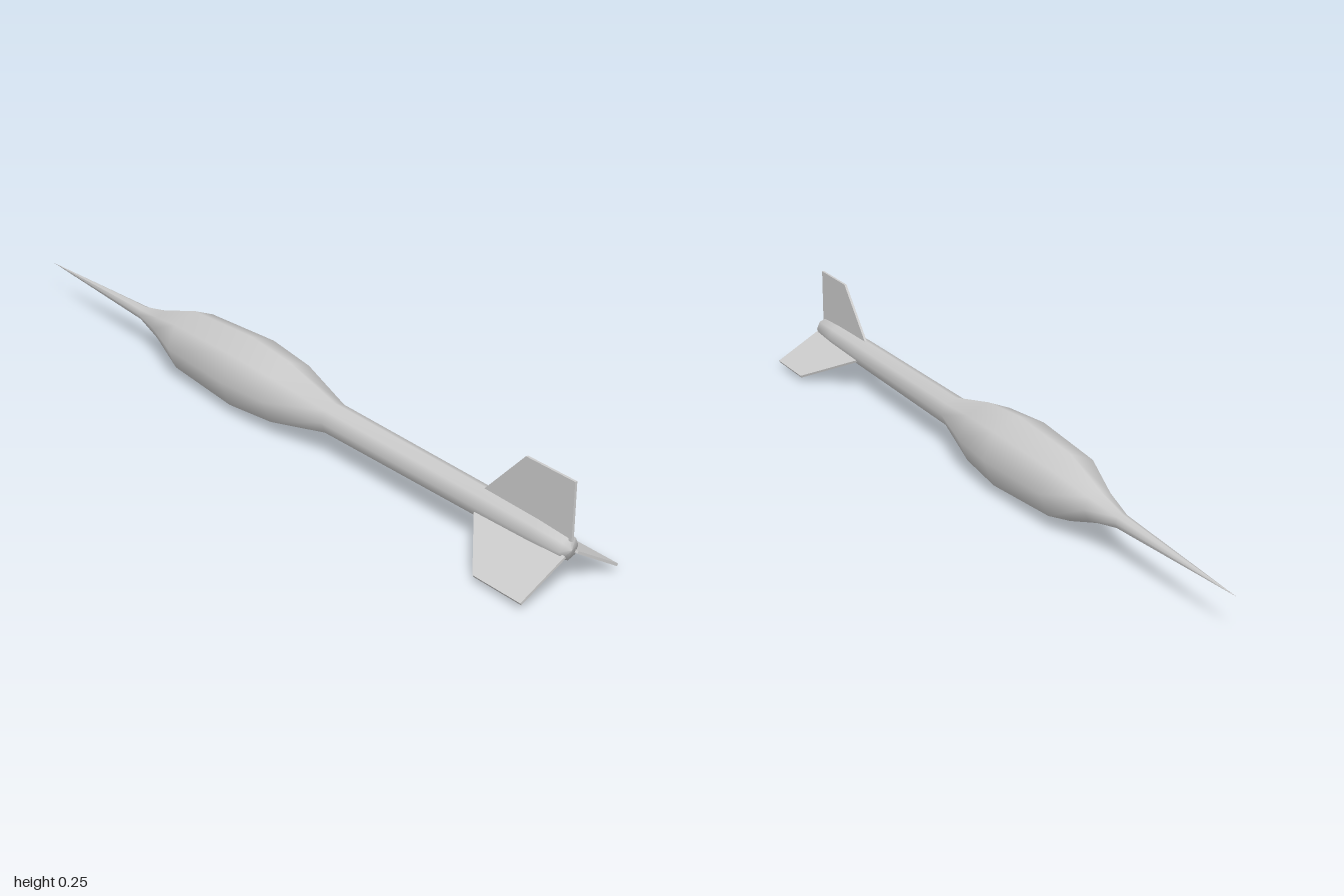
import * as THREE from 'three';

const AXIS_Y = 0.095;

export function createModel() {
  const model = new THREE.Group();
  const material = new THREE.MeshStandardMaterial({ color: 0xcccccc });

  // Eight-sided smooth body: [radius, z] from the tail to the needle tip
  const profile = [
    [0, 1], [0.027, 0.99], [0.032, 0.9], [0.035, 0.74], [0.039, 0.22],
    [0.08, 0.05], [0.0935, -0.1], [0.08, -0.34], [0.039, -0.465],
    [0.018, -0.56], [0, -1],
  ].map(([r, z]) => new THREE.Vector2(r, -z));
  const bodyGeometry = new THREE.LatheGeometry(profile, 8);
  bodyGeometry.rotateX(-Math.PI / 2);
  const body = new THREE.Mesh(bodyGeometry, material);
  body.name = 'body';
  body.position.y = AXIS_Y;
  model.add(body);

  // Thin clipped fin, drawn as (z, distance from the axis)
  const thickness = 0.006;
  const finShape = new THREE.Shape([
    [0.735, 0.02], [1, 0.02], [1, 0.157], [0.855, 0.157], [0.735, 0.034],
  ].map(([z, r]) => new THREE.Vector2(z, r)));
  const finGeometry = new THREE.ExtrudeGeometry(finShape, { depth: thickness, bevelEnabled: false });
  finGeometry.translate(0, 0, -thickness / 2);
  finGeometry.rotateY(-Math.PI / 2);

  // Three fins evenly spaced around the tail, one pointing up
  ['topFin', 'rightFin', 'leftFin'].forEach((name, i) => {
    const fin = new THREE.Mesh(finGeometry, material);
    fin.name = name;
    fin.position.y = AXIS_Y;
    fin.rotation.z = (i * Math.PI * 2) / 3;
    model.add(fin);
  });

  return model;
}
